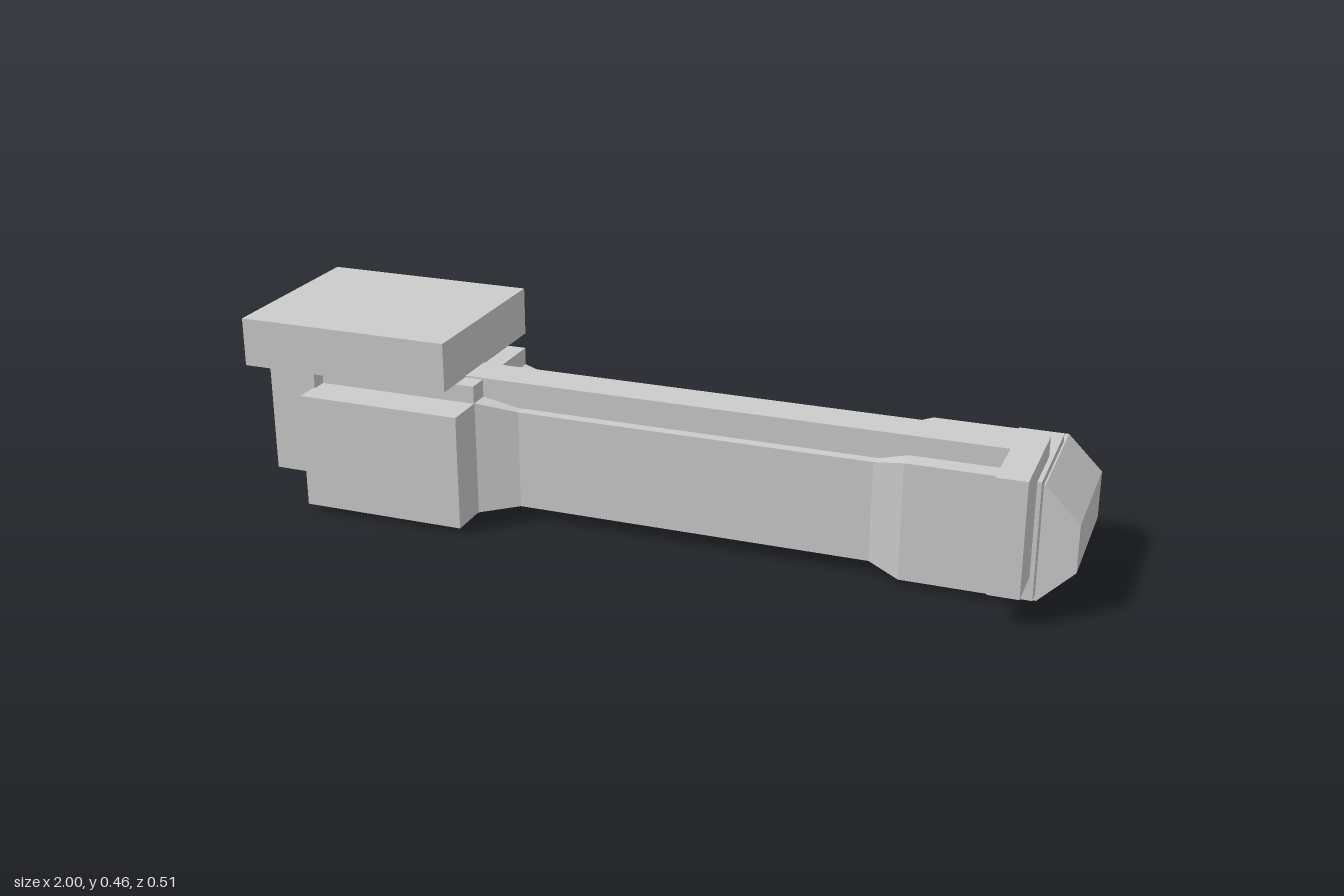
import * as THREE from 'three';

const material = new THREE.MeshStandardMaterial({ color: 0xcccccc, flatShading: true });

export function createModel() {
  const model = new THREE.Group();

  function add(name, geometry) {
    const mesh = new THREE.Mesh(geometry, material);
    mesh.name = name;
    model.add(mesh);
    return mesh;
  }

  // Box given by its limits on each axis
  function box(name, [x0, x1], [y0, y1], [z0, z1]) {
    const mesh = add(name, new THREE.BoxGeometry(x1 - x0, y1 - y0, z1 - z0));
    mesh.position.set((x0 + x1) / 2, (y0 + y1) / 2, (z0 + z1) / 2);
  }

  // Main beam: a box whose middle is drawn in between two full-size ends
  const stations = [-0.83, -0.42, -0.32, 0.54, 0.615, 0.915];
  const full = { y: [0.015, 0.297], z: [-0.155, 0.137] };
  const slim = { y: [0.036, 0.278], z: [-0.13, 0.11] };
  const beam = new THREE.BoxGeometry(5, 1, 1, 5, 1, 1);
  const p = beam.attributes.position;
  for (let i = 0; i < p.count; i++) {
    const k = Math.round(p.getX(i) + 2.5);
    const size = k === 2 || k === 3 ? slim : full;
    p.setXYZ(i, stations[k], size.y[p.getY(i) > 0 ? 1 : 0], size.z[p.getZ(i) > 0 ? 1 : 0]);
  }
  beam.computeVertexNormals();
  add('beam', beam);

  // Octagonal roller across the far end
  const apothem = 0.139;
  const roller = new THREE.CylinderGeometry(apothem / Math.cos(Math.PI / 8), apothem / Math.cos(Math.PI / 8), 0.313, 8);
  roller.rotateY(Math.PI / 8);
  roller.rotateX(Math.PI / 2);
  add('endRoller', roller).position.set(0.861, apothem, -0.0535);

  // Rail along the top, turning down into a hook at the front
  box('topRail', [-0.83, 0.905], [0.28, 0.344], [-0.012, 0.088]);
  box('railHook', [0.835, 0.905], [0.072, 0.344], [-0.012, 0.255]);

  // Head end: stacked plates and side blocks
  box('topPlate', [-1, -0.465], [0.341, 0.46], [-0.255, 0.2]);
  box('mountSlab', [-0.83, -0.42], [0.29, 0.34], [-0.155, 0.14]);
  box('endBlock', [-0.945, -0.825], [0.074, 0.343], [-0.185, 0.18]);
  box('frontBlock', [-0.83, -0.42], [0.016, 0.297], [0.13, 0.238]);
  box('rearSlab', [-0.87, -0.51], [0.293, 0.342], [-0.242, -0.15]);
  box('rearLeg', [-0.716, -0.617], [0.06, 0.3], [-0.242, -0.15]);

  return model;
}
